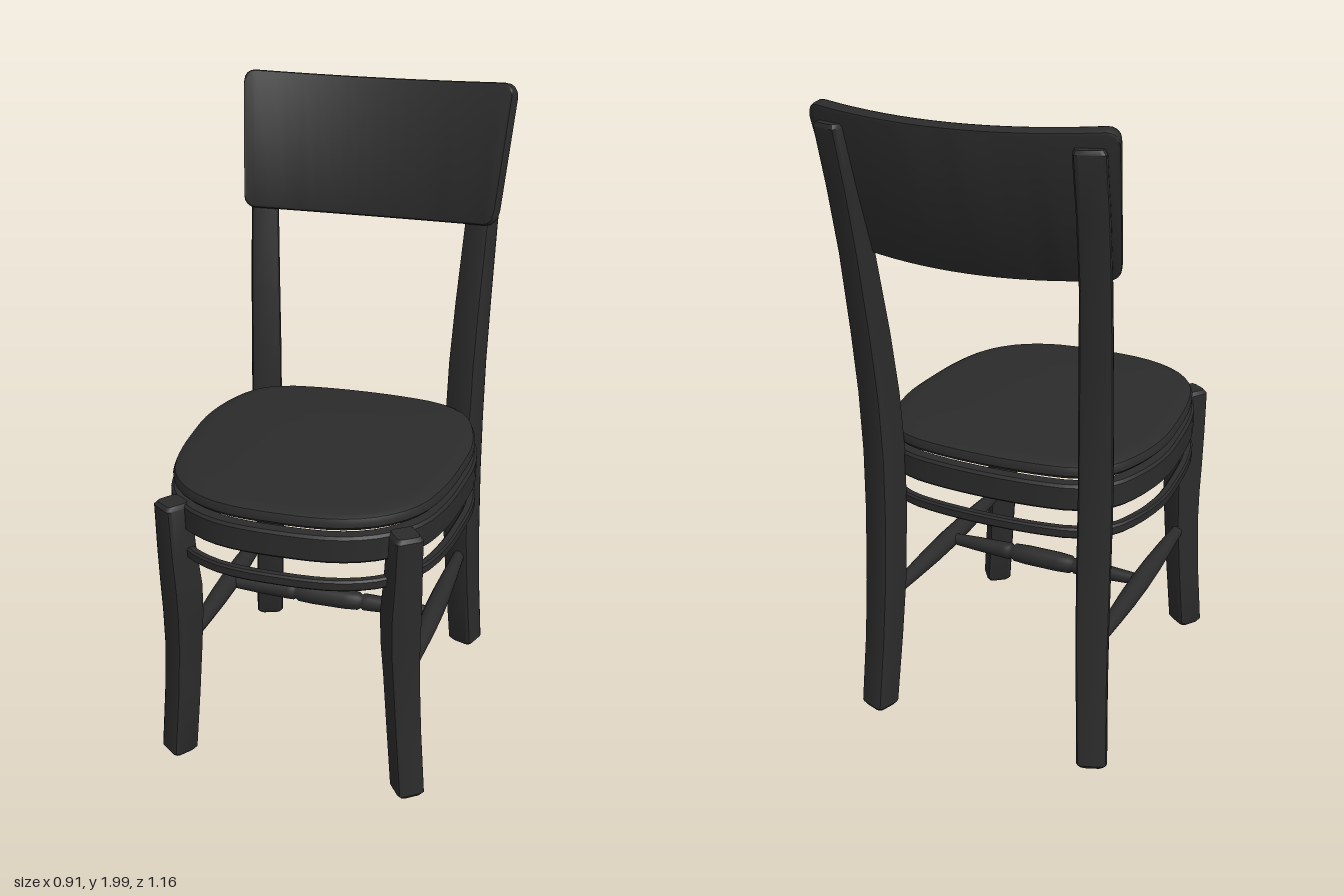
import * as THREE from 'three';
import { toCreasedNormals } from 'three/addons/utils/BufferGeometryUtils.js';

const material = new THREE.MeshStandardMaterial({ color: 0x2b2b2b });
const V = (x, y, z) => new THREE.Vector3(x, y, z);

// Skins a list of equal-length rings; optionally closes both ends with fans
function loft(rings, caps = true) {
  const n = rings[0].length, pos = [], idx = [];
  rings.forEach(r => r.forEach(p => pos.push(p.x, p.y, p.z)));
  for (let i = 0; i < rings.length - 1; i++) {
    for (let j = 0; j < n; j++) {
      const a = i * n + j, b = i * n + (j + 1) % n;
      idx.push(a, b, b + n, a, b + n, a + n);
    }
  }
  if (caps) {
    [0, rings.length - 1].forEach((i, end) => {
      const c = rings[i].reduce((s, p) => s.add(p), V(0, 0, 0)).divideScalar(n);
      const k = pos.length / 3;
      pos.push(c.x, c.y, c.z);
      for (let j = 0; j < n; j++) {
        const a = i * n + j, b = i * n + (j + 1) % n;
        if (end) idx.push(k, a, b); else idx.push(k, b, a);
      }
    });
  }
  const g = new THREE.BufferGeometry();
  g.setAttribute('position', new THREE.Float32BufferAttribute(pos, 3));
  g.setIndex(idx);
  return toCreasedNormals(g, 0.6);
}

// Rectangle with rounded corners, as [a, b] pairs turning from a to b
function roundedRect(a, b, r) {
  const pts = [];
  [[1, 1], [-1, 1], [-1, -1], [1, -1]].forEach(([sa, sb], q) => {
    for (let k = 0; k <= 2; k++) {
      const t = (q + k / 2) * Math.PI / 2;
      pts.push([sa * (a / 2 - r) + r * Math.cos(t), sb * (b / 2 - r) + r * Math.sin(t)]);
    }
  });
  return pts;
}

// Leg through sections [x, y, z, width, depth], turned about y
function leg(side, turn, sections) {
  const c = Math.cos(turn * side), s = Math.sin(turn * side);
  return loft(sections.map(([x, y, z, w, d]) =>
    roundedRect(d, w, 0.014).map(([pz, px]) =>
      V(side * x + px * c + pz * s, y, z - px * s + pz * c))));
}

// Turned rod between two points with [fraction, radius] profile
function rod(from, to, profile) {
  const dir = to.clone().sub(from), len = dir.length();
  const g = new THREE.LatheGeometry(
    profile.map(([t, r]) => new THREE.Vector2(r, t * len)), 14);
  g.applyQuaternion(new THREE.Quaternion().setFromUnitVectors(V(0, 1, 0), dir.normalize()));
  return g.translate(from.x, from.y, from.z);
}

// Seat plan: half outline from front to back, mirrored
const half = [[0.19, 0.56], [0.31, 0.5], [0.39, 0.405], [0.43, 0.28], [0.45, 0.11],
  [0.453, -0.05], [0.42, -0.2], [0.37, -0.295], [0.28, -0.352], [0.17, -0.374]];
const plan = new THREE.CatmullRomCurve3([
  V(0, 0, 0.578), ...half.map(([x, z]) => V(x, 0, z)),
  V(0, 0, -0.383), ...half.slice().reverse().map(([x, z]) => V(-x, 0, z)),
], true);
const planCount = 64;

// Plan outline moved inward by inset, at height y
function layer(inset, y) {
  const ring = [];
  for (let i = 0; i < planCount; i++) {
    const p = plan.getPointAt(i / planCount), t = plan.getTangentAt(i / planCount);
    ring.push(V(p.x + t.z * inset, y, p.z - t.x * inset));
  }
  return ring;
}

// Hoop following the plan, with softened edges
function hoop(y0, y1, thick, r) {
  const section = [[0, y0 + r], [0, y1 - r], [r, y1], [thick - r, y1],
    [thick, y1 - r], [thick, y0 + r], [thick - r, y0], [r, y0], [0, y0 + r]];
  return loft(section.map(([inset, y]) => layer(inset, y)), false);
}

// Curved, tilted panel skinned from side to side
function backPanel() {
  const H = 0.445, halfW = 0.435, thick = 0.042, r = 0.035, sag = 0.07;
  const us = [];
  for (let k = 0; k <= 4; k++) us.push(-halfW + r * (1 - Math.cos(k * Math.PI / 8)));
  for (let k = 1; k < 16; k++) us.push((k / 8 - 1) * (halfW - r));
  for (let k = 4; k >= 0; k--) us.push(halfW - r * (1 - Math.cos(k * Math.PI / 8)));
  const rings = us.map(u => {
    const d = Math.max(0, Math.abs(u) - (halfW - r));
    const h = H - 2 * (r - Math.sqrt(Math.max(0, r * r - d * d)));
    const f = u / halfW;
    return roundedRect(h, thick, 0.012).map(([v, w]) => {
      const n = w - sag * (1 - f * f);
      return V(f * (halfW + 0.067 * v) - w * 0.3 * f,
        1.78 + v * 0.966 + n * 0.258, -0.437 - v * 0.258 + n * 0.966);
    });
  });
  return loft(rings);
}

export function createModel() {
  const chair = new THREE.Group();
  chair.name = 'chair';
  const add = (name, geometry) => {
    const mesh = new THREE.Mesh(geometry, material);
    mesh.name = name;
    chair.add(mesh);
  };

  // Seat and the hoops beneath it
  add('seatCushion', loft([
    layer(0.035, 0.912), layer(0.018, 0.916), layer(0.008, 0.927), layer(0.008, 0.94),
    layer(0.014, 0.953), layer(0.03, 0.961), layer(0.07, 0.965), layer(0.2, 0.967)]));
  add('seatApron', hoop(0.815, 0.9, 0.05, 0.008));
  add('lowerHoop', hoop(0.724, 0.758, 0.03, 0.006));

  // Legs and side stretchers, mirrored
  for (const side of [1, -1]) {
    const prefix = side > 0 ? 'left' : 'right';
    add(prefix + 'FrontLeg', leg(side, 0.63, [
      [0.377, 0, 0.473, 0.072, 0.072], [0.376, 0.012, 0.473, 0.088, 0.088],
      [0.36, 0.22, 0.467, 0.089, 0.089], [0.349, 0.4, 0.465, 0.092, 0.092],
      [0.344, 0.52, 0.469, 0.098, 0.098], [0.344, 0.62, 0.473, 0.101, 0.101],
      [0.35, 0.74, 0.479, 0.094, 0.094], [0.355, 0.89, 0.484, 0.087, 0.087],
      [0.355, 0.902, 0.484, 0.07, 0.07]]));
    add(prefix + 'BackLeg', leg(side, -0.35, [
      [0.375, 0, -0.424, 0.075, 0.07], [0.375, 0.012, -0.423, 0.094, 0.086],
      [0.362, 0.25, -0.4, 0.096, 0.09], [0.354, 0.45, -0.384, 0.1, 0.095],
      [0.35, 0.7, -0.37, 0.102, 0.096], [0.35, 0.9, -0.366, 0.102, 0.096],
      [0.352, 1.1, -0.378, 0.1, 0.092], [0.358, 1.3, -0.4, 0.096, 0.086],
      [0.367, 1.55, -0.436, 0.09, 0.075], [0.374, 1.75, -0.478, 0.09, 0.064],
      [0.379, 1.93, -0.524, 0.09, 0.056], [0.379, 1.942, -0.527, 0.075, 0.042]]));
    add(prefix + 'SideStretcher', rod(V(side * 0.35, 0.385, 0.45), V(side * 0.355, 0.385, -0.37),
      [[0, 0.018], [0.2, 0.026], [0.35, 0.031], [0.5, 0.033],
        [0.65, 0.031], [0.8, 0.026], [1, 0.018]]));
  }

  // Turned rail joining the side stretchers
  add('crossStretcher', rod(V(-0.35, 0.385, 0.05), V(0.35, 0.385, 0.05),
    [[0, 0.018], [0.15, 0.024], [0.3, 0.028], [0.33, 0.028], [0.34, 0.022], [0.355, 0.03],
      [0.42, 0.033], [0.58, 0.033], [0.645, 0.03], [0.66, 0.022], [0.67, 0.028],
      [0.7, 0.028], [0.85, 0.024], [1, 0.018]]));

  add('backrest', backPanel());
  return chair;
}
